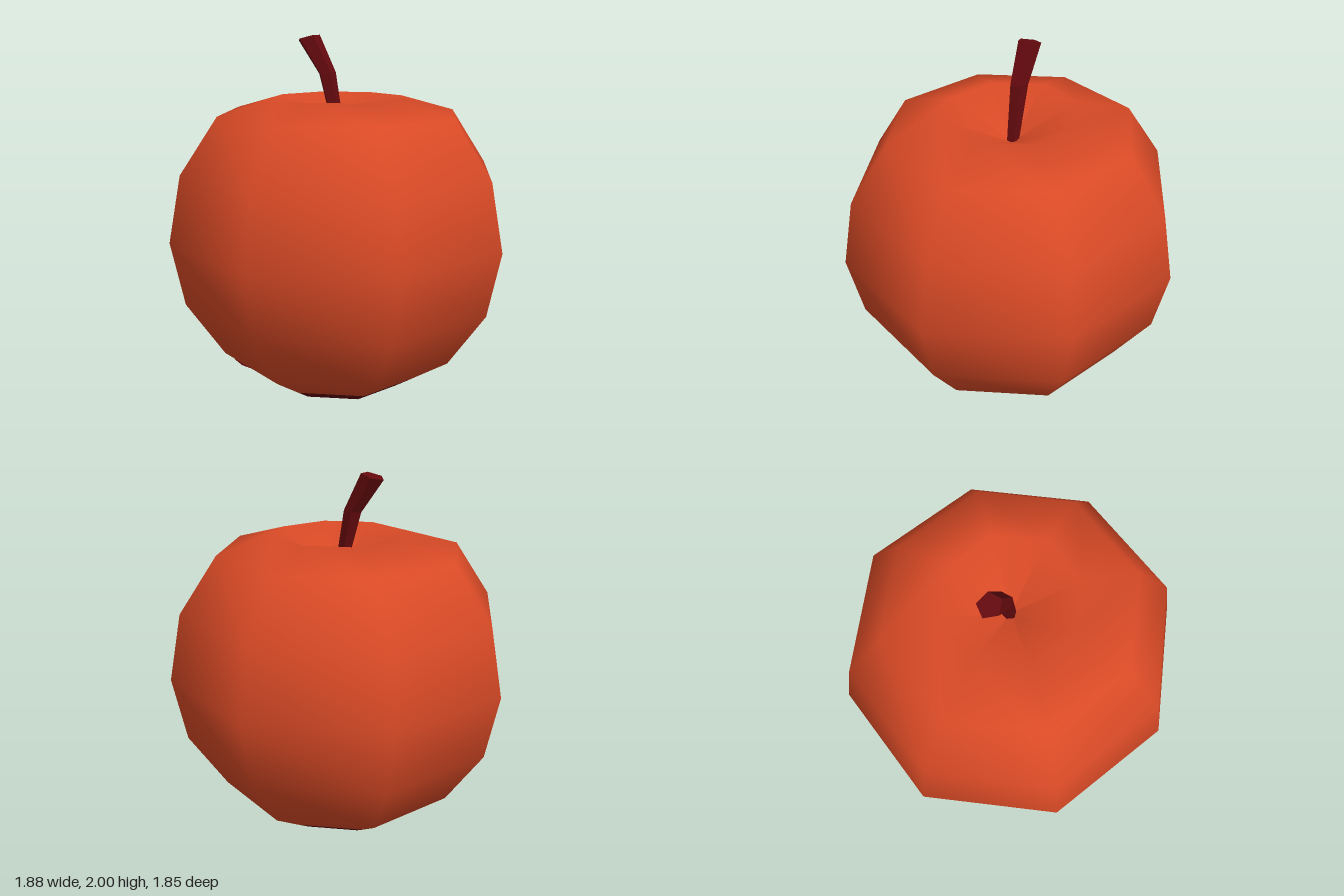
import * as THREE from 'three';

const skin = new THREE.MeshStandardMaterial({ color: 0xd94a26 });
skin.name = 'orangeRed';
const dark = new THREE.MeshStandardMaterial({ color: 0x640a0e, flatShading: true });
dark.name = 'darkRed';
const darkSmooth = dark.clone();
darkSmooth.flatShading = false;
darkSmooth.name = 'darkRedSmooth';

// Eight-sided fruit: the lowest two bands of the profile are dark
function makeFruit() {
  const profile = [
    [0, 0], [0.36, 0.075], [0.46, 0.14], [0.665, 0.275], [0.87, 0.58], [0.94, 0.93],
    [0.87, 1.29], [0.665, 1.59], [0.36, 1.675], [0, 1.5],
  ].map(([r, y]) => new THREE.Vector2(r, y));
  const sides = 8, darkBands = 2;
  const geometry = new THREE.LatheGeometry(profile, sides);
  geometry.scale(1, 1, 0.985);
  const perSide = geometry.index.count / sides;
  const split = darkBands * 6;
  for (let i = 0; i < sides; i++) {
    geometry.addGroup(i * perSide, split, 1);
    geometry.addGroup(i * perSide + split, perSide - split, 0);
  }
  const mesh = new THREE.Mesh(geometry, [skin, darkSmooth]);
  mesh.name = 'fruit';
  return mesh;
}

// Five-sided stem: a cylinder whose rows are moved onto a bent, widening path
function makeStem() {
  const rows = [
    { x: 0.005, y: 1.45, r: 0.03, tilt: 0 },
    { x: -0.076, y: 1.8, r: 0.048, tilt: 0.1 },
    { x: -0.19, y: 1.986, r: 0.0615, tilt: 0.27 },
  ];
  const geometry = new THREE.CylinderGeometry(1, 1, 2, 5, 2, false, -Math.PI / 2);
  const p = geometry.attributes.position;
  for (let i = 0; i < p.count; i++) {
    const row = rows[Math.round(p.getY(i) + 1)];
    const dx = p.getX(i) * row.r;
    p.setXYZ(i, row.x + dx, row.y + dx * row.tilt, p.getZ(i) * row.r);
  }
  geometry.computeVertexNormals();
  const mesh = new THREE.Mesh(geometry, dark);
  mesh.name = 'stem';
  return mesh;
}

// Small dark spot low on the front
function makeSpot() {
  const mesh = new THREE.Mesh(new THREE.CylinderGeometry(0.055, 0.055, 0.008, 6), dark);
  const normal = new THREE.Vector3(-0.39, -0.836, 0.39).normalize();
  mesh.quaternion.setFromUnitVectors(new THREE.Vector3(0, 1, 0), normal);
  mesh.position.set(-0.4, 0.212, 0.394).addScaledVector(normal, 0.002);
  mesh.name = 'spot';
  return mesh;
}

export function createModel() {
  const group = new THREE.Group();
  group.name = 'apple';
  group.add(makeFruit(), makeStem(), makeSpot());
  return group;
}
